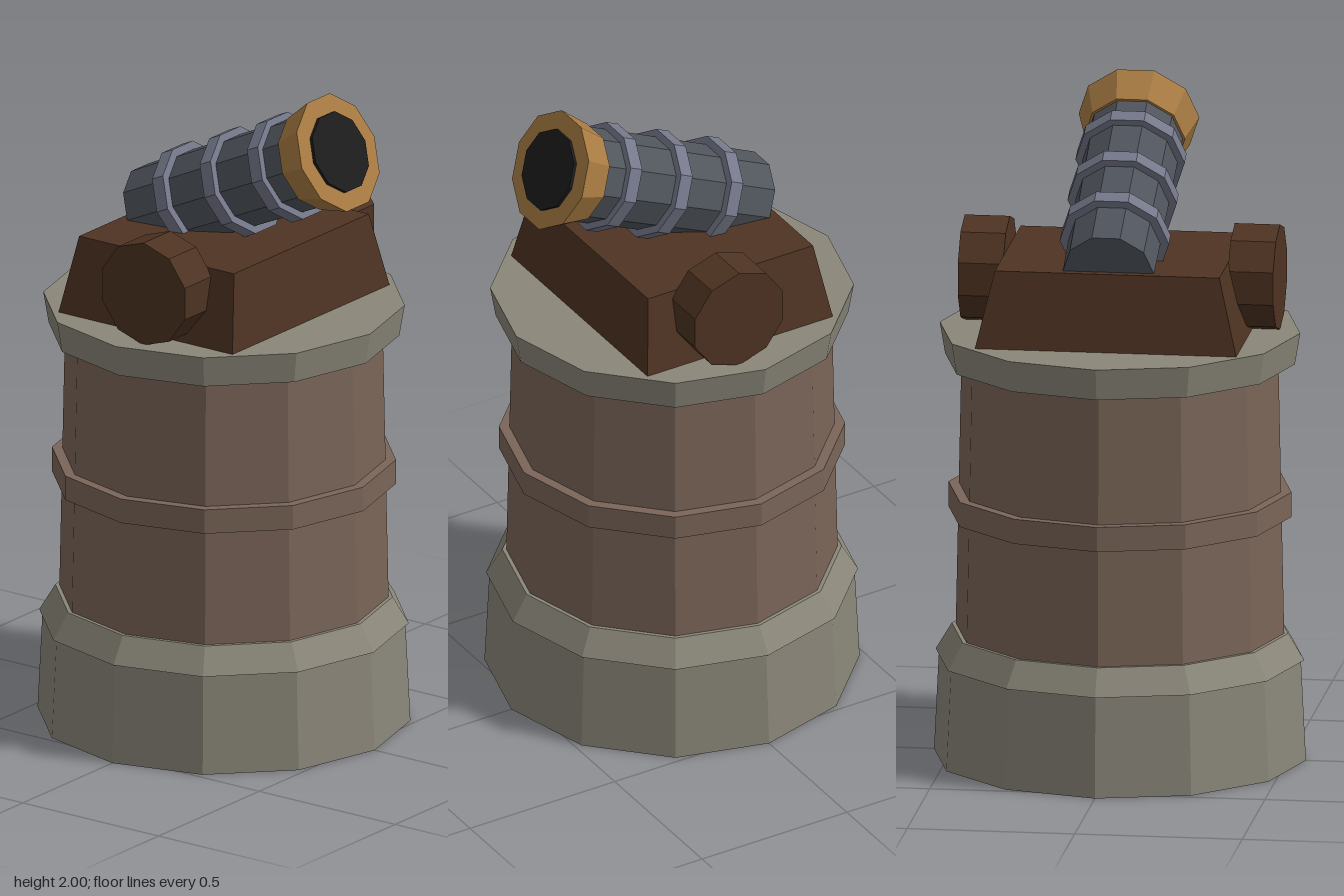
import * as THREE from 'three';

const mat = (name, color) => {
  const m = new THREE.MeshStandardMaterial({ color, flatShading: true });
  m.name = name;
  return m;
};

export function createModel() {
  const model = new THREE.Group();
  model.name = 'cannonTower';

  const stone = mat('stone', 0x8a8679);
  const clay = mat('clayBrown', 0x7a6558);
  const wood = mat('darkWood', 0x4e3322);
  const iron = mat('iron', 0x50555d);
  const band = mat('paleIron', 0x75788a);
  const brass = mat('brass', 0xa87b42);
  const black = mat('boreBlack', 0x1c1c1c);

  const add = (parent, name, geometry, material) => {
    const mesh = new THREE.Mesh(geometry, material);
    mesh.name = name;
    parent.add(mesh);
    return mesh;
  };

  // Twelve-sided tower, stacked from the ground: [name, bottom y, top y, bottom r, top r, material]
  const tower = [
    ['base', 0, 0.305, 0.555, 0.54, stone],
    ['baseLedge', 0.305, 0.385, 0.55, 0.502, stone],
    ['shaft', 0.385, 1.205, 0.49, 0.473, clay],
    ['shaftBand', 0.74, 0.815, 0.512, 0.512, clay],
    ['cap', 1.205, 1.3, 0.522, 0.538, stone],
  ];
  for (const [name, y0, y1, r0, r1, material] of tower) {
    add(model, name, new THREE.CylinderGeometry(r1, r0, y1 - y0, 12), material)
      .position.y = (y0 + y1) / 2;
  }

  // Carriage: a box narrowed towards the top
  const carriage = new THREE.BoxGeometry(0.78, 0.23, 0.64);
  const p = carriage.attributes.position;
  for (let i = 0; i < p.count; i++) {
    if (p.getY(i) > 0) p.setXYZ(i, Math.sign(p.getX(i)) * 0.335, 0.115, Math.sign(p.getZ(i)) * 0.285);
  }
  add(model, 'carriage', carriage, wood).position.y = 1.415;

  // Ten-sided wheels on both sides
  for (const side of [1, -1]) {
    const wheel = new THREE.CylinderGeometry(0.16, 0.16, 0.135, 10, 1, false, Math.PI / 2);
    wheel.rotateZ(Math.PI / 2);
    add(model, side > 0 ? 'leftWheel' : 'rightWheel', wheel, wood)
      .position.set(side * 0.403, 1.456, 0.052);
  }

  // Barrel group: local y runs from breech to muzzle, raised 25 degrees
  const barrel = new THREE.Group();
  barrel.name = 'barrel';
  barrel.position.set(0, 1.529, -0.256);
  barrel.rotation.x = THREE.MathUtils.degToRad(65);
  model.add(barrel);

  const tube = (name, s0, s1, r0, r1, material) => {
    const g = new THREE.CylinderGeometry(r1, r0, s1 - s0, 10, 1, false, Math.PI / 2);
    add(barrel, name, g, material).position.y = (s0 + s1) / 2;
  };
  tube('barrelTube', 0, 0.66, 0.136, 0.143, iron);
  [0.165, 0.358, 0.55].forEach((s, i) => tube(`barrelBand${i + 1}`, s - 0.022, s + 0.022, 0.163, 0.163, band));
  tube('muzzle', 0.642, 0.746, 0.15, 0.18, brass);
  tube('bore', 0.74, 0.756, 0.123, 0.123, black);

  return model;
}
